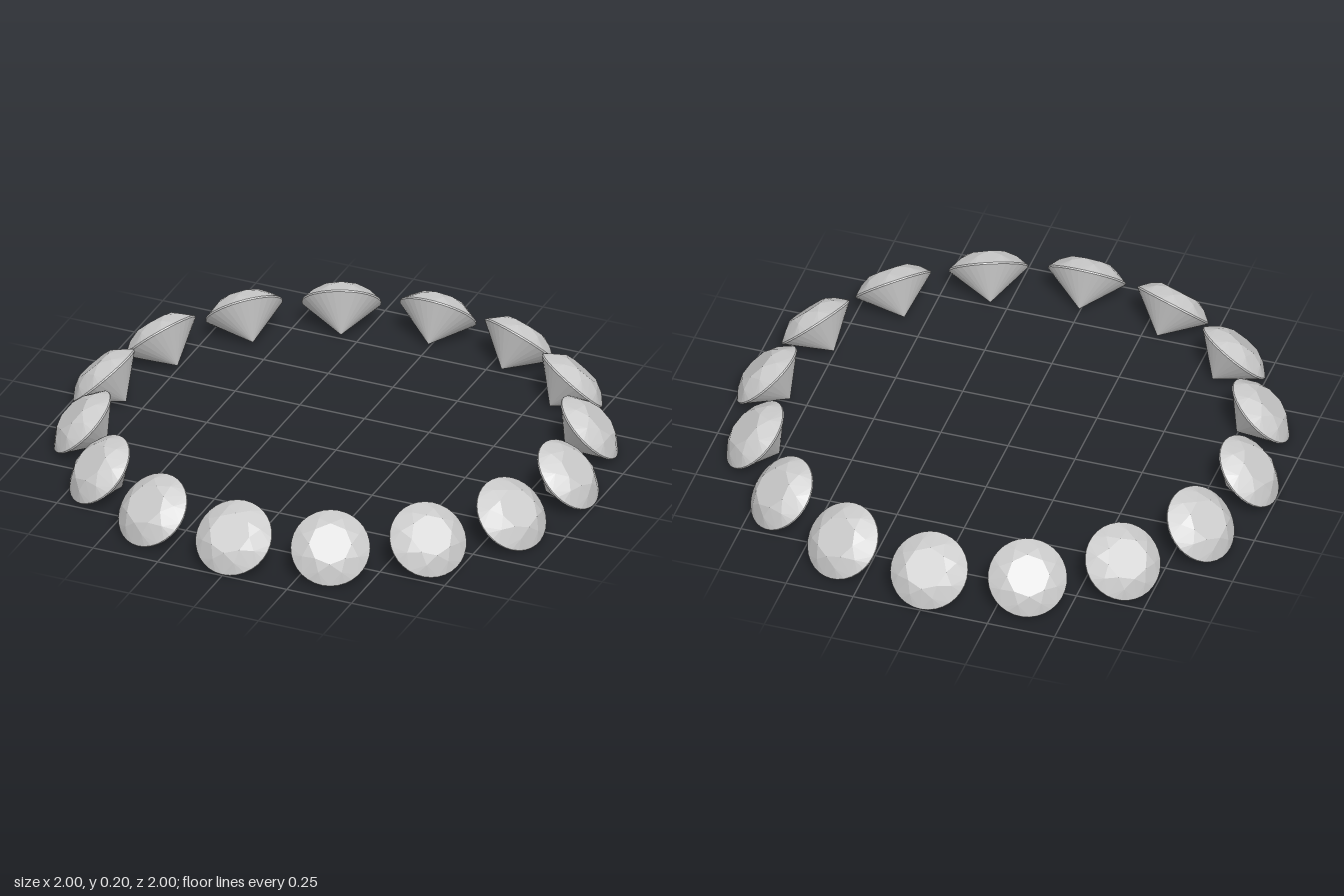
import * as THREE from 'three';

const COUNT = 16, RING_RADIUS = 0.9;
const R = 0.141, TABLE_R = 0.076, MID_R = 0.108;
const CROWN_H = 0.05, MID_H = 0.031, BAND = 0.006, DEPTH = 0.125;

// Round brilliant cut: table, star, kite and upper girdle facets over a fanned pavilion
function gemGeometry() {
  const pos = [];
  const point = (r, y, step) => { // 32 steps per turn
    const a = step * Math.PI / 16;
    return [r * Math.sin(a), y, r * Math.cos(a)];
  };
  const tri = (a, b, c) => pos.push(...a, ...b, ...c);
  const top = [0, CROWN_H, 0], culet = [0, -DEPTH, 0];
  const girdle = s => point(R, 0, s);
  const lower = s => point(R, -BAND, s);

  for (let k = 0; k < 8; k++) {
    const s = k * 4;
    const t0 = point(TABLE_R, CROWN_H, s), t1 = point(TABLE_R, CROWN_H, s + 4);
    const mPrev = point(MID_R, MID_H, s - 2), m = point(MID_R, MID_H, s + 2);
    tri(top, t0, t1); // table
    tri(t0, m, t1); // star
    tri(t0, mPrev, girdle(s)); // kite
    tri(t0, girdle(s), m);
    for (let i = s; i < s + 4; i++) {
      tri(m, girdle(i), girdle(i + 1)); // upper girdle
      tri(girdle(i), lower(i), lower(i + 1)); // girdle band
      tri(girdle(i), lower(i + 1), girdle(i + 1));
      tri(lower(i), culet, lower(i + 1)); // pavilion
    }
  }
  const geometry = new THREE.BufferGeometry();
  geometry.setAttribute('position', new THREE.Float32BufferAttribute(pos, 3));
  geometry.computeVertexNormals();
  return geometry;
}

export function createModel() {
  const model = new THREE.Group();
  model.name = 'gemRing';
  const geometry = gemGeometry();
  const material = new THREE.MeshStandardMaterial({ color: 0xcccccc, flatShading: true });

  // Gems spaced around the circle, each table tilted outward by 45 degrees
  for (let i = 0; i < COUNT; i++) {
    const mount = new THREE.Group();
    mount.name = `gemMount${i + 1}`;
    mount.rotation.y = i * Math.PI * 2 / COUNT;
    const gem = new THREE.Mesh(geometry, material);
    gem.name = `gem${i + 1}`;
    gem.position.set(0, 0.104, RING_RADIUS);
    gem.rotation.x = Math.PI / 4;
    mount.add(gem);
    model.add(mount);
  }
  return model;
}
